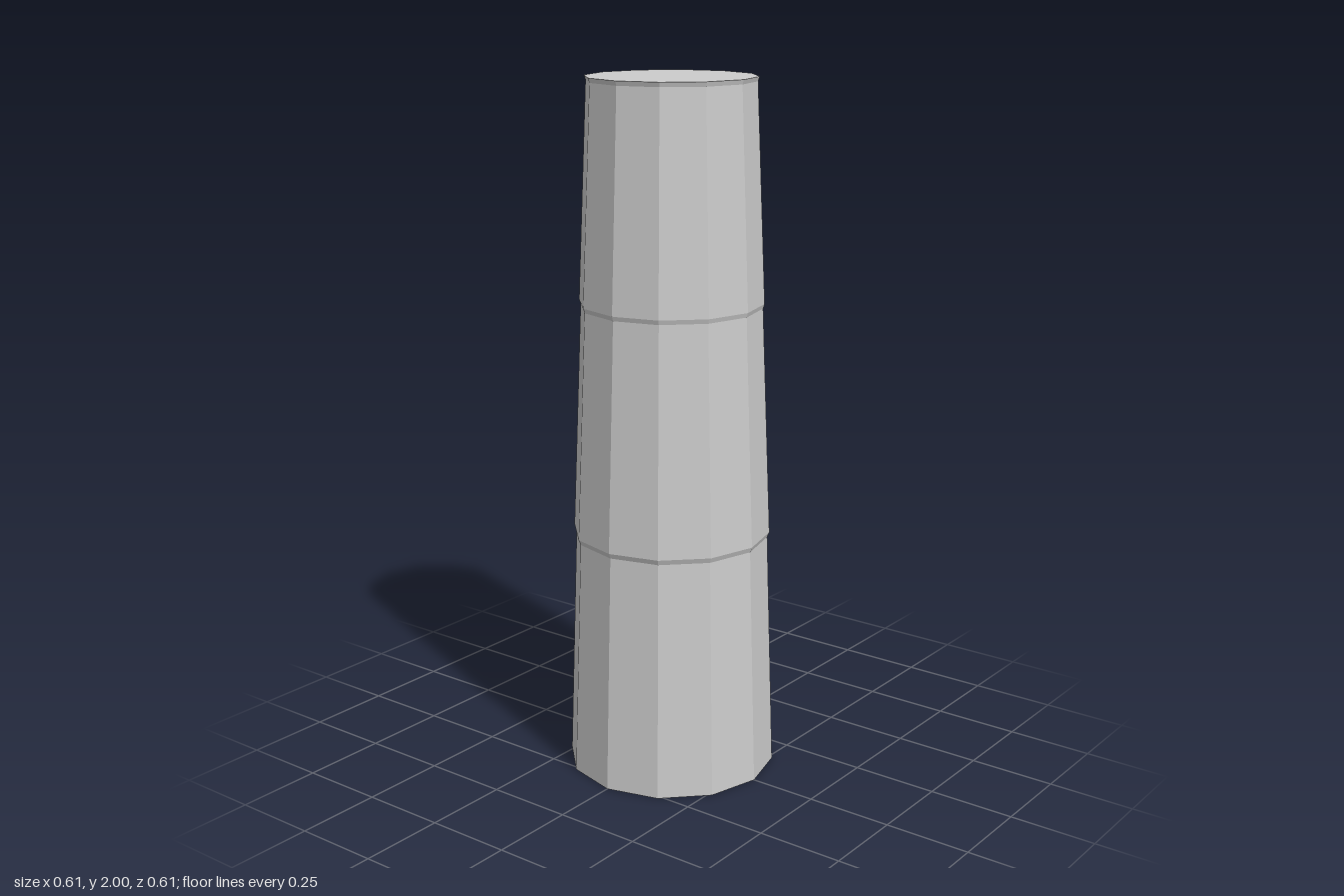
import * as THREE from 'three';

const SIDES = 12;

export function createModel() {
  const group = new THREE.Group();
  group.name = 'taperedColumn';
  const material = new THREE.MeshStandardMaterial({
    color: 0xcccccc, flatShading: true, side: THREE.DoubleSide,
  });

  // Each section narrows upward, then flares into a thin overhanging lip.
  // [bottom radius, bottom y, neck radius, neck y, lip radius, lip y]
  const sections = [
    ['lowerSection', 0.303, 0, 0.279, 0.695, 0.285, 0.71],
    ['middleSection', 0.285, 0.71, 0.258, 1.365, 0.262, 1.378],
    ['upperSection', 0.262, 1.378, 0.236, 1.987, 0.24, 2],
  ];
  for (const [name, r0, y0, r1, y1, r2, y2] of sections) {
    const profile = [[r0, y0], [r1, y1], [r2, y2]].map(([r, y]) => new THREE.Vector2(r, y));
    const mesh = new THREE.Mesh(new THREE.LatheGeometry(profile, SIDES), material);
    mesh.name = name;
    group.add(mesh);
  }

  // Flat top; the bottom stays open
  const cap = new THREE.Mesh(new THREE.CircleGeometry(0.24, SIDES), material);
  cap.name = 'topCap';
  cap.rotation.x = -Math.PI / 2;
  cap.position.y = 2;
  group.add(cap);

  return group;
}
